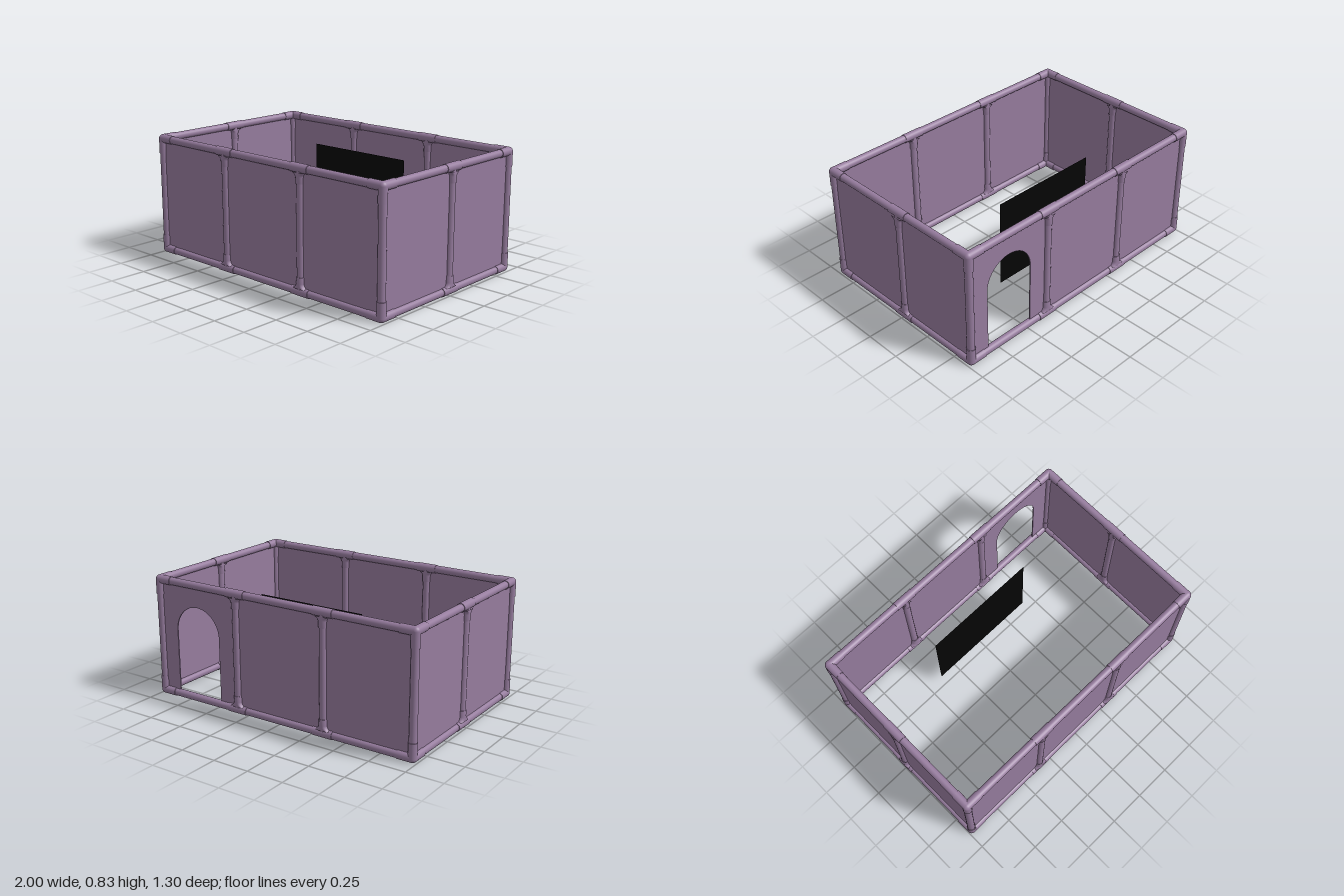
import * as THREE from 'three';

const X = 0.971, Z = 0.621, Y0 = 0.032, Y1 = 0.809; // pipe centre lines
const PIPE = 0.0255, SOCKET = 0.029, REACH = 0.1;
const POSTS_X = [-0.34, 0.33], POST_Z = -0.018;
const PANEL = 0.008;

const purple = new THREE.MeshStandardMaterial({ color: 0x967c9e });
const black = new THREE.MeshStandardMaterial({ color: 0x050505, side: THREE.DoubleSide });
const UP = new THREE.Vector3(0, 1, 0);
const vec = (x, y, z) => new THREE.Vector3(x, y, z);

function add(parent, name, geometry, material = purple) {
  const mesh = new THREE.Mesh(geometry, material);
  mesh.name = name;
  parent.add(mesh);
  return mesh;
}

// round bar between two points
function bar(parent, name, a, b, radius) {
  const d = b.clone().sub(a);
  const mesh = add(parent, name, new THREE.CylinderGeometry(radius, radius, d.length(), 24));
  mesh.position.copy(a).add(b).multiplyScalar(0.5);
  mesh.quaternion.setFromUnitVectors(UP, d.normalize());
}

// branch socket with a flared root
function branch(parent, at, dir) {
  const profile = [[0.052, 0.024], [0.042, 0.032], [0.034, 0.042], [0.0295, 0.058], [SOCKET, 0.1], [PIPE, 0.1]]
    .map(([r, y]) => new THREE.Vector2(r, y));
  const mesh = add(parent, 'branchSocket', new THREE.LatheGeometry(profile, 24));
  mesh.scale.set(1, 0.95, 1);
  mesh.position.copy(at);
  mesh.quaternion.setFromUnitVectors(UP, dir);
  // flatten the flare so it stays inside the run of the pipe
  const alongX = Math.abs(at.z) > 0.5;
  const pos = mesh.geometry.attributes.position;
  for (let i = 0; i < pos.count; i++) {
    if (alongX) pos.setZ(i, THREE.MathUtils.clamp(pos.getZ(i), -SOCKET, SOCKET));
    else pos.setX(i, THREE.MathUtils.clamp(pos.getX(i), -SOCKET, SOCKET));
  }
  mesh.geometry.computeVertexNormals();
}

// three-way corner: ball and three sockets
function corner(parent, sx, sz, y) {
  const g = new THREE.Group();
  g.name = 'cornerFitting';
  parent.add(g);
  const c = vec(sx * X, y, sz * Z);
  add(g, 'cornerBall', new THREE.SphereGeometry(SOCKET, 24, 16)).position.copy(c);
  const dirs = [vec(-sx, 0, 0), vec(0, 0, -sz), vec(0, y === Y0 ? 1 : -1, 0)];
  for (const d of dirs) bar(g, 'cornerSocket', c, c.clone().addScaledVector(d, REACH), SOCKET);
}

// tee on a rail, with a branch toward the post
function tee(parent, at, along) {
  const g = new THREE.Group();
  g.name = 'teeFitting';
  parent.add(g);
  bar(g, 'teeRun', at.clone().addScaledVector(along, -0.073), at.clone().addScaledVector(along, 0.073), SOCKET);
  branch(g, at, vec(0, at.y === Y0 ? 1 : -1, 0));
}

// flat wall panel spanning u0..u1, optionally with an arched doorway
function panel(parent, name, u0, u1, door) {
  const s = new THREE.Shape();
  s.moveTo(u0, Y0);
  if (door) {
    s.lineTo(door.x - door.r, Y0);
    s.lineTo(door.x - door.r, door.spring);
    s.absarc(door.x, door.spring, door.r, Math.PI, 0, true);
    s.lineTo(door.x + door.r, Y0);
  }
  s.lineTo(u1, Y0);
  s.lineTo(u1, Y1);
  s.lineTo(u0, Y1);
  s.closePath();
  const geo = new THREE.ExtrudeGeometry(s, { depth: PANEL, bevelEnabled: false, curveSegments: 24 });
  geo.translate(0, 0, -PANEL / 2);
  return add(parent, name, geo);
}

export function createModel() {
  const model = new THREE.Group();
  model.name = 'pipeFrameRoom';
  const frame = new THREE.Group();
  frame.name = 'frame';
  const walls = new THREE.Group();
  walls.name = 'walls';
  model.add(frame, walls);

  // rails and their fittings
  for (const y of [Y0, Y1]) {
    for (const s of [-1, 1]) {
      bar(frame, 'longRail', vec(-X, y, s * Z), vec(X, y, s * Z), PIPE);
      bar(frame, 'sideRail', vec(s * X, y, -Z), vec(s * X, y, Z), PIPE);
      for (const x of POSTS_X) tee(frame, vec(x, y, s * Z), vec(1, 0, 0));
      tee(frame, vec(s * X, y, POST_Z), vec(0, 0, 1));
      for (const t of [-1, 1]) corner(frame, s, t, y);
    }
  }

  // upright posts
  for (const s of [-1, 1]) {
    for (const x of [-X, ...POSTS_X, X]) bar(frame, 'post', vec(x, Y0, s * Z), vec(x, Y1, s * Z), PIPE);
    bar(frame, 'sidePost', vec(s * X, Y0, POST_Z), vec(s * X, Y1, POST_Z), PIPE);
  }

  // wall panels, one per bay
  const bays = [-X, ...POSTS_X, X];
  for (let i = 0; i < 3; i++) {
    panel(walls, 'frontPanel', bays[i], bays[i + 1]).position.z = Z;
    const door = i === 2 ? { x: 0.655, r: 0.178, spring: 0.483 } : null;
    panel(walls, door ? 'doorwayPanel' : 'backPanel', bays[i], bays[i + 1], door).position.z = -Z;
  }
  for (const s of [-1, 1]) {
    for (const [a, b] of [[-Z, POST_Z], [POST_Z, Z]]) {
      const p = panel(walls, 'sidePanel', -b, -a);
      p.rotation.y = Math.PI / 2;
      p.position.x = s * X;
    }
  }

  // thin dark board standing inside
  add(model, 'darkBoard', new THREE.PlaneGeometry(0.79, 0.61), black).position.set(0, 0.411, -0.28);
  return model;
}
